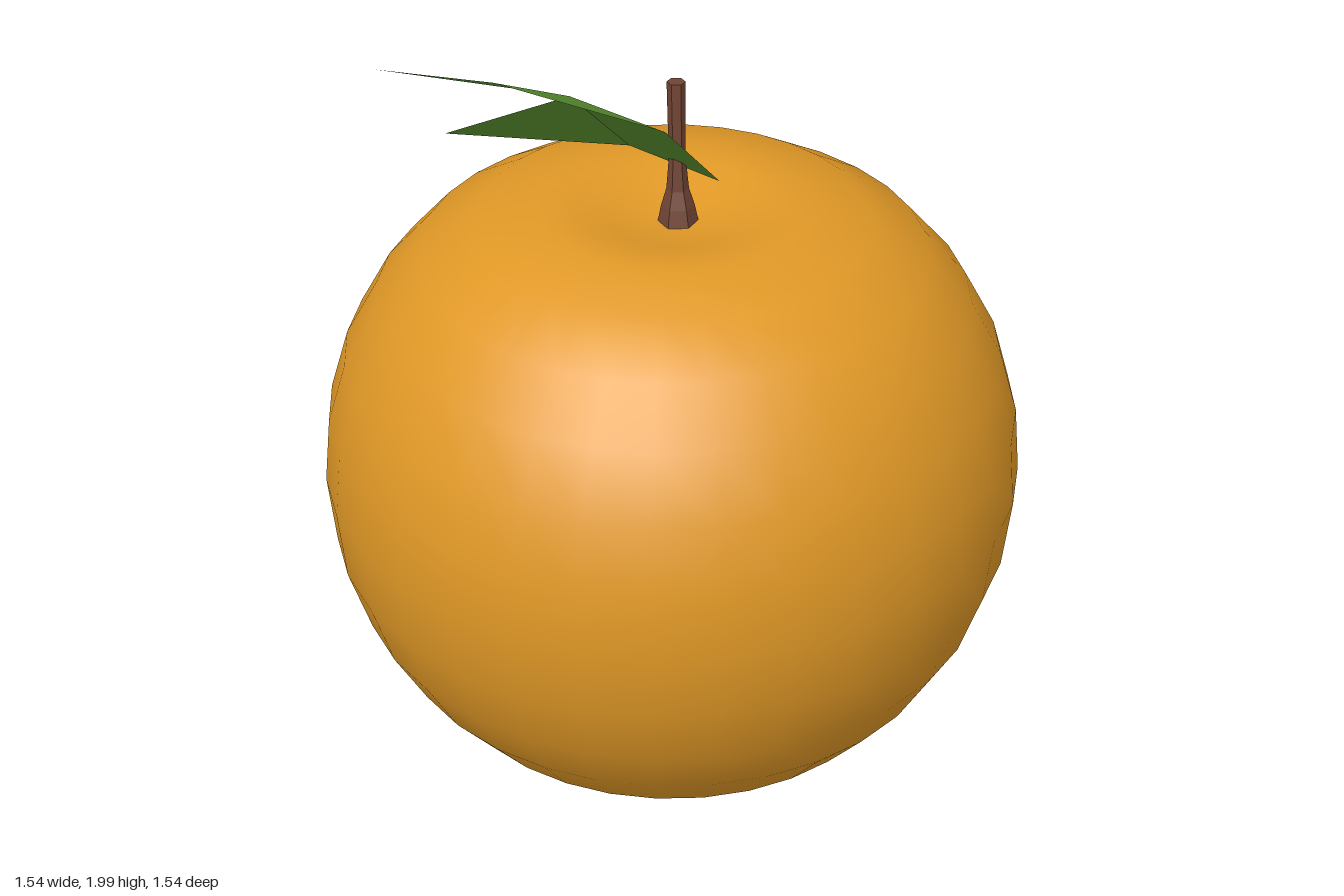
import * as THREE from 'three';

const v2 = (list) => list.map(([r, y]) => new THREE.Vector2(r, y));

export function createModel() {
  const peel = new THREE.MeshStandardMaterial({ color: 0xe09826 });
  peel.name = 'orangePeel';
  const bark = new THREE.MeshStandardMaterial({ color: 0x704434, flatShading: true });
  bark.name = 'brownStem';
  const green = new THREE.MeshStandardMaterial({ color: 0x5a9130, side: THREE.DoubleSide });
  green.name = 'leafGreen';

  const model = new THREE.Group();
  model.name = 'fruitWithLeaf';

  const add = (name, geometry, material) => {
    const mesh = new THREE.Mesh(geometry, material);
    mesh.name = name;
    model.add(mesh);
    return mesh;
  };

  // Round fruit with a shallow dimple on top, leaning very slightly
  const profile = v2([
    [0, 0.005], [0.14, 0.02], [0.27, 0.055], [0.4, 0.125], [0.525, 0.225],
    [0.625, 0.34], [0.7, 0.47], [0.75, 0.62], [0.768, 0.78], [0.755, 0.93],
    [0.715, 1.07], [0.645, 1.2], [0.55, 1.31], [0.425, 1.385], [0.29, 1.418],
    [0.21, 1.413], [0.14, 1.392], [0.07, 1.377], [0, 1.37],
  ]);
  const body = new THREE.LatheGeometry(profile, 32);
  body.translate(0, -0.77, 0).rotateX(0.012).translate(0, 0.77, 0);
  add('fruit', body, peel);

  // Six-sided stem, flared at the base and leaning a little backwards
  const stem = new THREE.LatheGeometry(v2([
    [0.045, 1.365], [0.036, 1.41], [0.024, 1.45], [0.018, 1.52], [0.02, 1.695], [0, 1.695],
  ]), 6);
  const p = stem.attributes.position;
  for (let i = 0; i < p.count; i++) {
    const t = (p.getY(i) - 1.37) / 0.325;
    p.setX(i, p.getX(i) + 0.012 + 0.004 * t);
    p.setZ(i, p.getZ(i) + 0.006 - 0.016 * t);
  }
  stem.computeVertexNormals();
  add('stem', stem, bark);

  // Thin leaf with a notched, two-pointed end
  const base = [0.1, 1.455, 0.03];
  const backEdge = [-0.055, 1.53, -0.085];
  const shortTip = [-0.53, 1.72, 0];
  const notch = [-0.295, 1.785, 0.095];
  const longTip = [-0.765, 2, 0.185];
  const longCorner = [-0.57, 1.97, 0.295];
  const frontEdge = [-0.145, 1.72, 0.22];
  const corners = [
    base, backEdge, notch,
    backEdge, shortTip, notch,
    base, notch, frontEdge,
    frontEdge, notch, longCorner,
    notch, longTip, longCorner,
  ];
  const leaf = new THREE.BufferGeometry();
  leaf.setAttribute('position', new THREE.Float32BufferAttribute(corners.flat(), 3));
  leaf.computeVertexNormals();
  add('leaf', leaf, green);

  return model;
}
